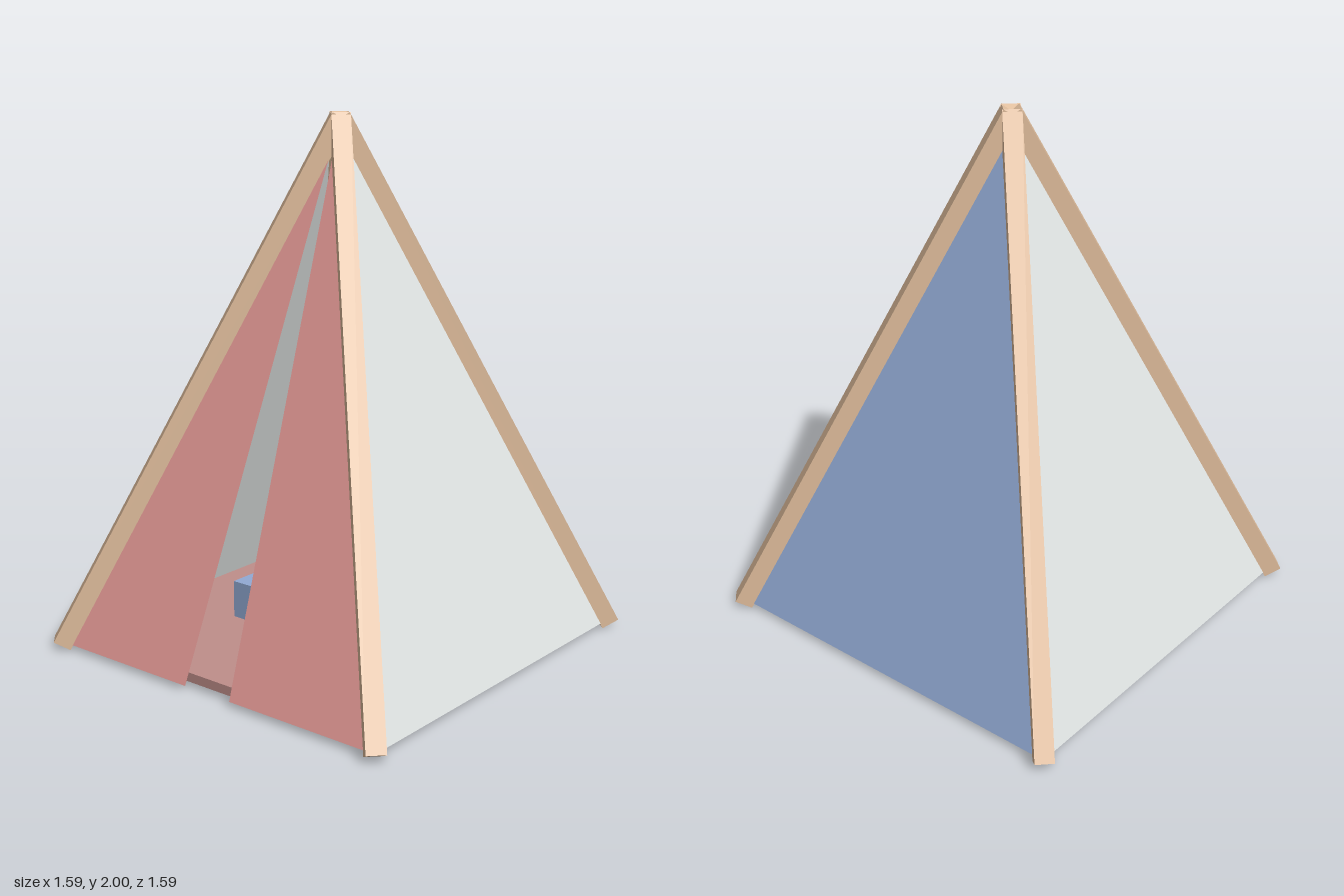
import * as THREE from 'three';

const mat = (name, color, side = THREE.FrontSide) => {
  const m = new THREE.MeshStandardMaterial({ color, side });
  m.name = name;
  return m;
};

export function createModel() {
  const group = new THREE.Group();
  group.name = 'playTent';

  const wood = mat('wood', 0xe0bd9c);
  const pink = mat('pinkCanvas', 0xe49a96, THREE.DoubleSide);
  const white = mat('whiteCanvas', 0xe0e4e3, THREE.DoubleSide);
  const blueCanvas = mat('blueCanvas', 0x92aad4, THREE.DoubleSide);
  const rose = mat('roseMat', 0xbf8e8a);

  const add = (name, geometry, material) => {
    const mesh = new THREE.Mesh(geometry, material);
    mesh.name = name;
    group.add(mesh);
    return mesh;
  };

  // Four square poles leaning together at the top
  const top = new THREE.Vector3(0, 1.983, 0);
  for (const [sx, sz, name] of [[1, 1, 'frontLeft'], [-1, 1, 'frontRight'], [1, -1, 'backLeft'], [-1, -1, 'backRight']]) {
    const foot = new THREE.Vector3(0.748 * sx, 0.017, 0.748 * sz);
    const axis = top.clone().sub(foot);
    const pole = add(name + 'Pole', new THREE.BoxGeometry(0.07, axis.length(), 0.07), wood);
    const up = axis.clone().normalize();
    const side = new THREE.Vector3(sz, 0, -sx).normalize();
    const out = new THREE.Vector3().crossVectors(side, up);
    pole.quaternion.setFromRotationMatrix(new THREE.Matrix4().makeBasis(side, up, out));
    pole.position.copy(foot).add(top).multiplyScalar(0.5);
  }

  // Canvas triangle between two points on one base edge and the apex
  const half = 0.745, base = 0.02;
  const panel = (name, x0, x1, angle, material) => {
    const g = new THREE.BufferGeometry();
    g.setAttribute('position', new THREE.Float32BufferAttribute(
      [x0, base, half, x1, base, half, 0, 1.983, 0], 3));
    g.rotateY(angle);
    g.computeVertexNormals();
    add(name, g, material);
  };
  panel('leftWall', -half, half, Math.PI / 2, white);
  panel('rightWall', -half, half, -Math.PI / 2, white);
  panel('backWall', -half, half, Math.PI, blueCanvas);
  // Front flaps leave a narrow doorway
  panel('rightDoorFlap', -half, -0.106, 0, pink);
  panel('leftDoorFlap', 0.106, half, 0, pink);

  // Floor mat and cushion inside
  add('floorMat', new THREE.BoxGeometry(1.42, 0.035, 1.42), rose).position.y = 0.038;
  add('cushion', new THREE.BoxGeometry(0.72, 0.145, 0.71), blueCanvas).position.set(0, 0.1275, -0.145);

  return group;
}
